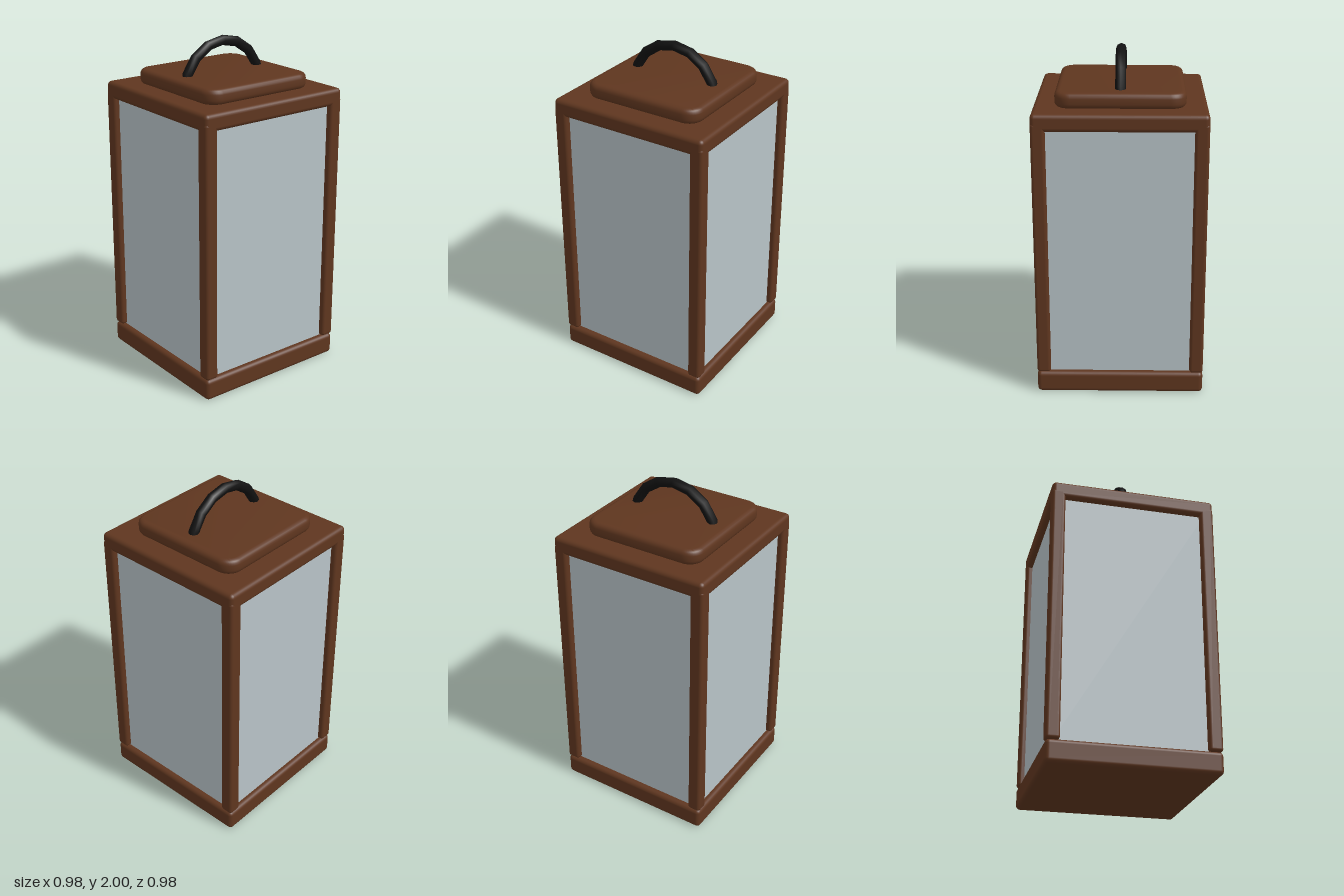
import * as THREE from 'three';
import { RoundedBoxGeometry } from 'three/addons/geometries/RoundedBoxGeometry.js';
import { toCreasedNormals } from 'three/addons/utils/BufferGeometryUtils.js';

const wood = new THREE.MeshStandardMaterial({ color: 0x5f361f });
const glass = new THREE.MeshStandardMaterial({ color: 0xb8c3c7 });
const iron = new THREE.MeshStandardMaterial({ color: 0x111111 });

const HALF = 0.49; // half width of the body
const POST = 0.08; // post thickness

function add(parent, name, geometry, material, x, y, z) {
  const mesh = new THREE.Mesh(geometry, material);
  mesh.name = name;
  mesh.position.set(x, y, z);
  parent.add(mesh);
  return mesh;
}

// Square outline with rounded corners
function roundedSquare(h, r) {
  const s = new THREE.Shape();
  s.absarc(h - r, h - r, r, 0, Math.PI / 2);
  s.absarc(r - h, h - r, r, Math.PI / 2, Math.PI);
  s.absarc(r - h, r - h, r, Math.PI, Math.PI * 1.5);
  s.absarc(h - r, r - h, r, Math.PI * 1.5, Math.PI * 2);
  s.closePath();
  return s;
}

export function createModel() {
  const lantern = new THREE.Group();
  lantern.name = 'lantern';

  // Base and roof slabs
  add(lantern, 'base', new RoundedBoxGeometry(HALF * 2, 0.13, HALF * 2, 3, 0.025), wood, 0, 0.065, 0);
  add(lantern, 'roof', new RoundedBoxGeometry(HALF * 2, 0.1, HALF * 2, 3, 0.025), wood, 0, 1.66, 0);

  // Corner posts
  const postGeometry = new RoundedBoxGeometry(POST, 1.53, POST, 3, 0.018);
  const p = HALF - POST / 2;
  for (const x of [-p, p]) {
    for (const z of [-p, p]) add(lantern, 'cornerPost', postGeometry, wood, x, 0.895, z);
  }

  // Glass panes, set back between the posts
  const paneGeometry = new THREE.BoxGeometry(2 * p, 1.51, 0.01);
  for (let i = 0; i < 4; i++) {
    const a = (i * Math.PI) / 2;
    const pane = add(lantern, 'glassPane', paneGeometry, glass, Math.sin(a) * p, 0.88, Math.cos(a) * p);
    pane.rotation.y = a;
  }

  // Raised cap with softened edges
  const capGeometry = new THREE.ExtrudeGeometry(roundedSquare(0.338, 0.06), {
    depth: 0.03, bevelThickness: 0.03, bevelSize: 0.03, bevelSegments: 4, curveSegments: 5,
  });
  capGeometry.rotateX(-Math.PI / 2);
  add(lantern, 'cap', toCreasedNormals(capGeometry, 0.7), wood, 0, 1.735, 0);

  // Carrying handle, a half ring sunk into the cap
  add(lantern, 'handle', new THREE.TorusGeometry(0.27, 0.03, 8, 8, Math.PI), iron, 0, 1.7, 0);

  return lantern;
}
